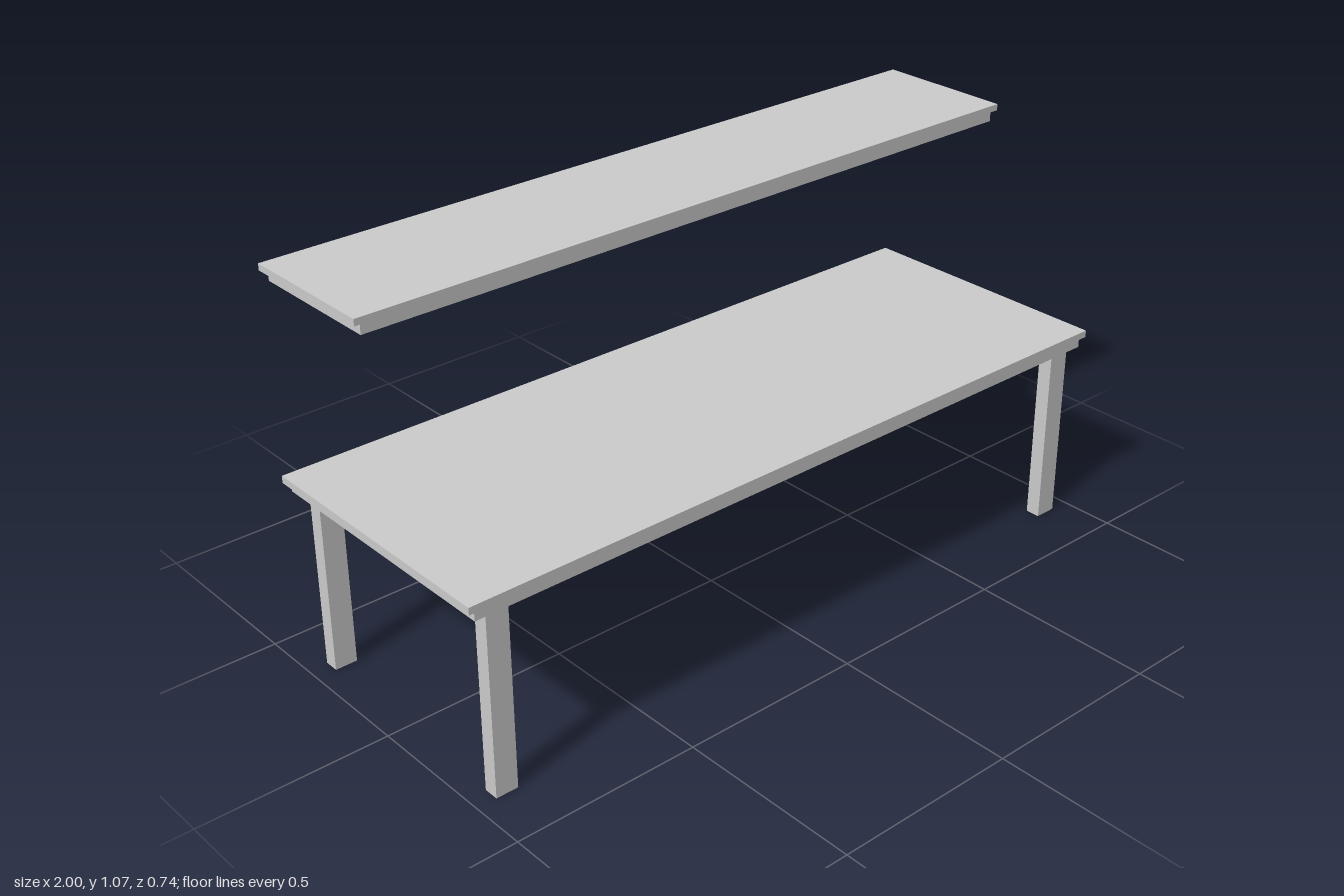
import * as THREE from 'three';

const material = new THREE.MeshStandardMaterial({ color: 0xcccccc, flatShading: true });

// Box given by its extents along each axis
function block(name, [x0, x1], [y0, y1], [z0, z1]) {
  const mesh = new THREE.Mesh(new THREE.BoxGeometry(x1 - x0, y1 - y0, z1 - z0), material);
  mesh.name = name;
  mesh.position.set((x0 + x1) / 2, (y0 + y1) / 2, (z0 + z1) / 2);
  return mesh;
}

// Thin overhanging slab on a slightly inset board
function steppedBoard(name, [bottom, step, top], [back, front]) {
  const inset = 0.007;
  const group = new THREE.Group();
  group.name = name;
  group.add(
    block(name + 'Slab', [-1, 1], [step, top], [back, front]),
    block(name + 'Base', [-0.982, 0.982], [bottom, step], [back + inset, front - inset])
  );
  return group;
}

export function createModel() {
  const model = new THREE.Group();
  model.name = 'tableWithShelf';

  // Table top and the narrower shelf floating above its rear half
  model.add(steppedBoard('tableTop', [0.49, 0.516, 0.535], [-0.369, 0.369]));
  model.add(steppedBoard('shelf', [1.026, 1.054, 1.071], [-0.369, 0.013]));

  // Four rectangular legs
  for (const [end, z] of [['front', 0.331], ['back', -0.325]]) {
    for (const [side, x] of [['Left', 0.917], ['Right', -0.917]]) {
      model.add(block(end + side + 'Leg', [x - 0.03, x + 0.03], [0, 0.49], [z - 0.02, z + 0.02]));
    }
  }
  return model;
}
